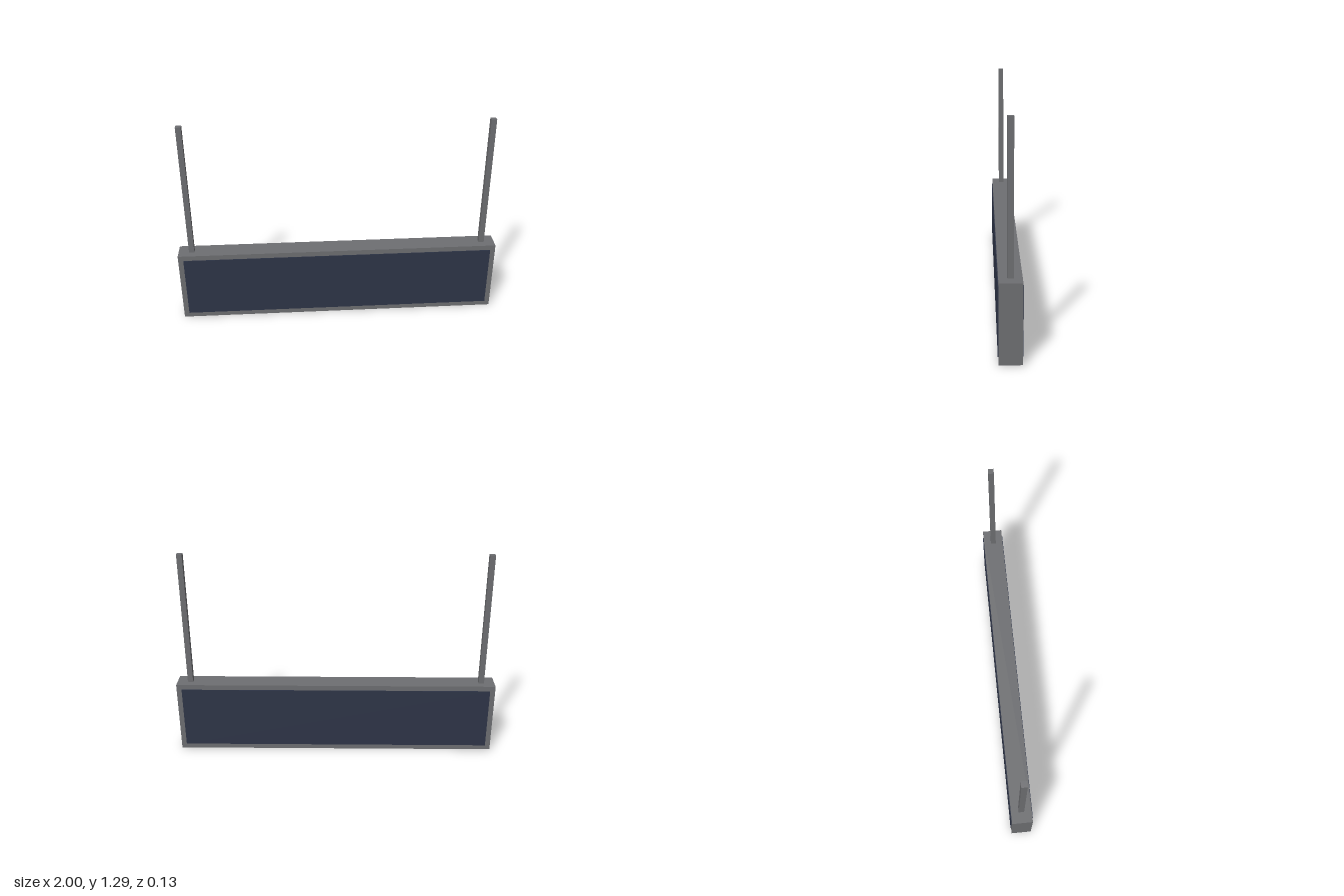
import * as THREE from 'three';

const frameGrey = new THREE.MeshStandardMaterial({ color: 0x6e6f72 });
frameGrey.name = 'frame grey';
const screenNavy = new THREE.MeshStandardMaterial({ color: 0x2e3548 });
screenNavy.name = 'screen navy';

// Box placed by its bottom centre
function box(name, material, [w, h, d], [x, y, z]) {
  const mesh = new THREE.Mesh(new THREE.BoxGeometry(w, h, d), material);
  mesh.name = name;
  mesh.position.set(x, y + h / 2, z);
  return mesh;
}

export function createModel() {
  const model = new THREE.Group();
  model.name = 'hangingDisplayBoard';

  // Display housing
  const housingHeight = 0.458, housingDepth = 0.126;
  model.add(box('housing', frameGrey, [2, housingHeight, housingDepth], [0, 0, 0]));

  // Thin screen on each face
  for (const [name, side] of [['frontScreen', 1], ['backScreen', -1]]) {
    const thickness = 0.004;
    const z = side * (housingDepth + thickness) / 2;
    model.add(box(name, screenNavy, [1.936, 0.394, thickness], [0, 0.032, z]));
  }

  // Square hanger posts rising from the housing top
  for (const [name, side] of [['leftPost', 1], ['rightPost', -1]]) {
    model.add(box(name, frameGrey, [0.033, 1.295 - housingHeight, 0.033], [side * 0.918, housingHeight, 0]));
  }

  return model;
}
